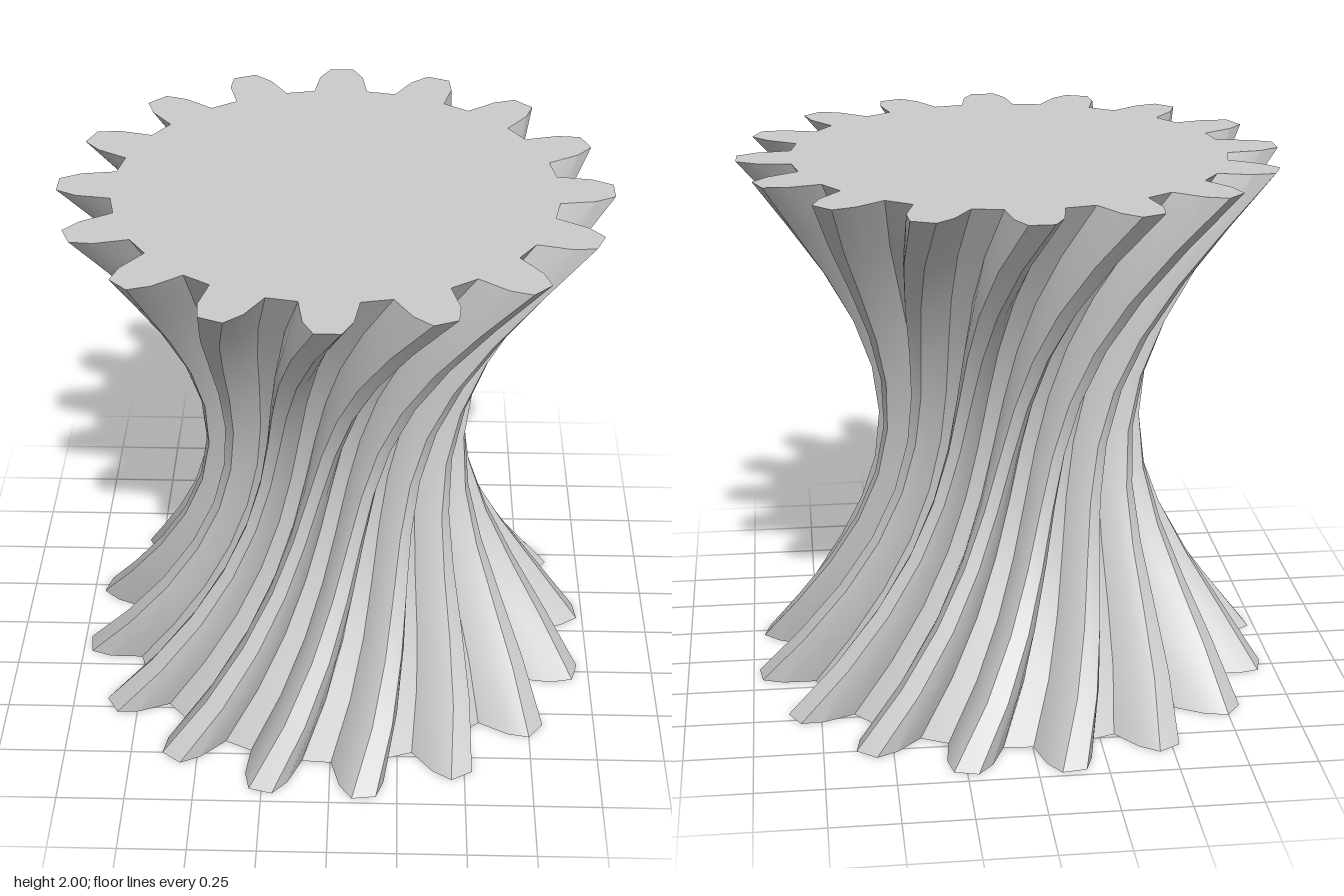
import * as THREE from 'three';
import { toCreasedNormals } from 'three/addons/utils/BufferGeometryUtils.js';

const TEETH = 16;
const HEIGHT = 2;
const STEPS = 10;
const TWIST = Math.PI / 3;

// Half of one tooth, from root to tip: [radius, degrees from the tooth's centre]
const FLANK = [[0.79, 7.3], [0.91, 5.2], [0.981, 2.6]];

function gearShape() {
  const profile = [
    ...FLANK.map(([r, a]) => [r, -a]),
    ...[...FLANK].reverse(),
  ];
  const points = [];
  for (let i = 0; i < TEETH; i++) {
    for (const [r, a] of profile) {
      const angle = (i / TEETH) * Math.PI * 2 + THREE.MathUtils.degToRad(a);
      points.push(new THREE.Vector2(r * Math.cos(angle), r * Math.sin(angle)));
    }
  }
  return new THREE.Shape(points);
}

export function createModel() {
  const group = new THREE.Group();
  group.name = 'twistedGear';

  // Gear outline raised along y in even layers
  const geometry = new THREE.ExtrudeGeometry(gearShape(), {
    depth: HEIGHT, steps: STEPS, bevelEnabled: false,
  });
  geometry.rotateX(-Math.PI / 2);

  // Pinch the waist to half width and twist each layer
  const position = geometry.attributes.position;
  const v = new THREE.Vector3();
  const up = new THREE.Vector3(0, 1, 0);
  for (let i = 0; i < position.count; i++) {
    v.fromBufferAttribute(position, i);
    const t = v.y / HEIGHT;
    const waist = 1 - 0.5 * Math.sin(Math.PI * t);
    v.x *= waist;
    v.z *= waist;
    v.applyAxisAngle(up, (t - 1) * TWIST);
    position.setXYZ(i, v.x, v.y, v.z);
  }

  const body = new THREE.Mesh(
    toCreasedNormals(geometry, 0.4),
    new THREE.MeshStandardMaterial({ color: 0xcccccc }),
  );
  body.name = 'gearBody';
  group.add(body);
  return group;
}
